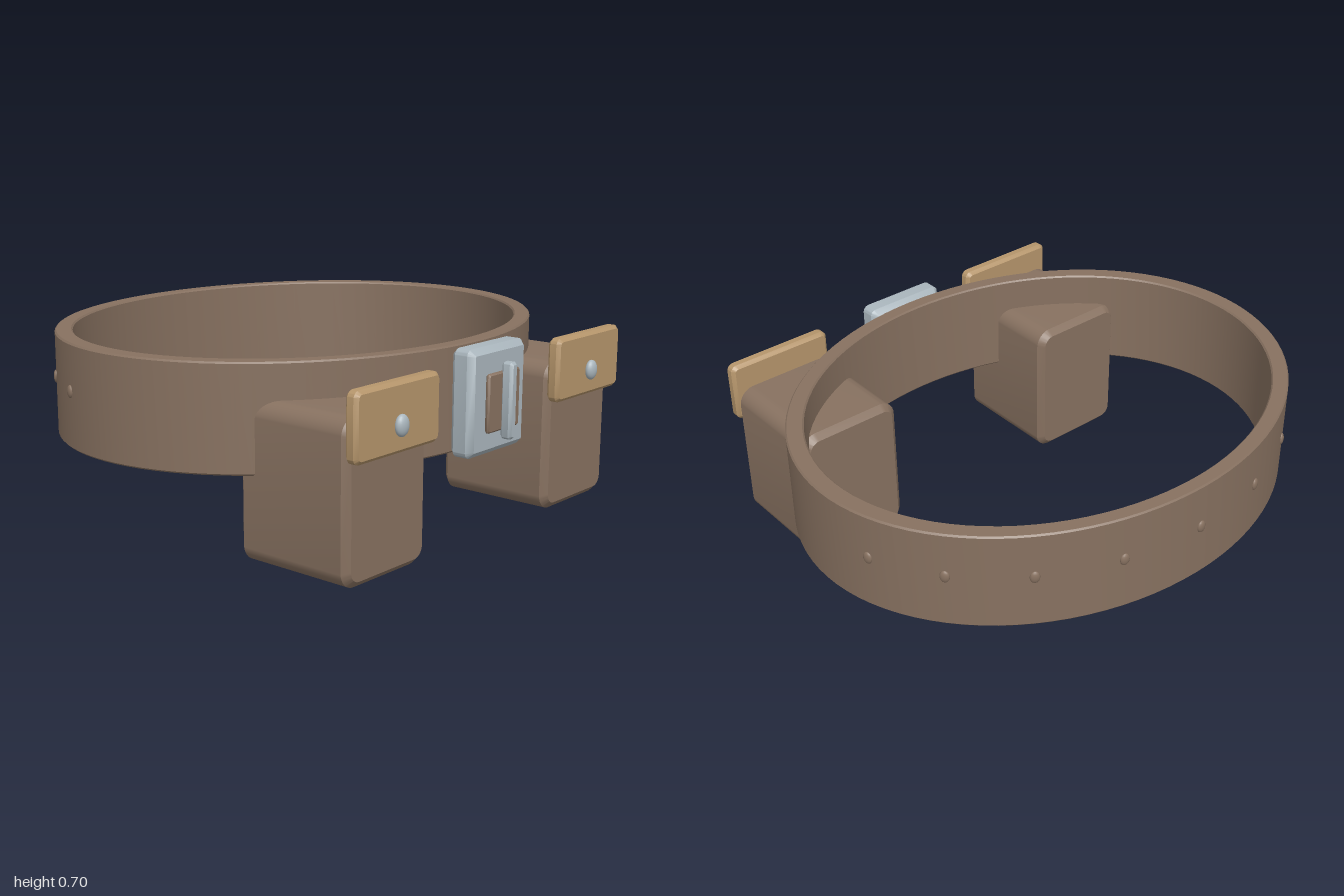
import * as THREE from 'three';
import { toCreasedNormals } from 'three/addons/utils/BufferGeometryUtils.js';

const material = (name, color) => {
  const m = new THREE.MeshStandardMaterial({ color });
  m.name = name;
  return m;
};

// Rounded rectangle in xy, extruded along z with chamfered front and back rims
function block(w, h, d, radius, bevel) {
  const x = w / 2 - bevel, y = h / 2 - bevel, r = Math.max(radius - bevel, 0.004);
  const s = new THREE.Shape();
  s.moveTo(-x + r, -y);
  s.lineTo(x - r, -y);
  s.absarc(x - r, -y + r, r, -Math.PI / 2, 0);
  s.lineTo(x, y - r);
  s.absarc(x - r, y - r, r, 0, Math.PI / 2);
  s.lineTo(-x + r, y);
  s.absarc(-x + r, y - r, r, Math.PI / 2, Math.PI);
  s.lineTo(-x, -y + r);
  s.absarc(-x + r, -y + r, r, Math.PI, Math.PI * 1.5);
  const g = new THREE.ExtrudeGeometry(s, {
    depth: d - 2 * bevel, curveSegments: 6,
    bevelEnabled: true, bevelSize: bevel, bevelThickness: bevel, bevelSegments: 1,
  });
  g.translate(0, 0, -d / 2 + bevel);
  return toCreasedNormals(g, 0.6);
}

export function createModel() {
  const leather = material('brown leather', 0x877160);
  const tan = material('tan leather', 0xb5956b);
  const metal = material('steel', 0xaab6bd);

  const root = new THREE.Group();
  root.name = 'beltWithPouches';
  const add = (parent, name, geometry, mat, x, y, z) => {
    const mesh = new THREE.Mesh(geometry, mat);
    mesh.name = name;
    mesh.position.set(x, y, z);
    parent.add(mesh);
    return mesh;
  };

  // Oval strap
  const depthScale = 0.825, centreZ = -0.085, low = 0.315, high = 0.7, e = 0.006;
  const profile = [
    [0.93, low + e], [0.93 + e, low], [1 - e, low], [1, low + e],
    [1, high - e], [1 - e, high], [0.93 + e, high], [0.93, high - e], [0.93, low + e],
  ].map(([x, y]) => new THREE.Vector2(x, y));
  const strap = new THREE.LatheGeometry(profile, 96);
  strap.scale(1, 1, depthScale);
  add(root, 'strap', toCreasedNormals(strap, 0.6), leather, 0, 0, centreZ);

  // Small studs around the back of the strap
  const studGeometry = new THREE.SphereGeometry(1, 14, 10);
  for (let i = -4; i <= 4; i++) {
    const a = i * 0.327;
    const stud = add(root, 'strapStud', studGeometry, leather,
      Math.sin(a), 0.525, centreZ - Math.cos(a) * depthScale);
    stud.scale.set(0.018, 0.024, 0.01);
    stud.rotation.y = Math.atan2(Math.sin(a) * depthScale, Math.cos(a) * -1);
  }

  // Buckle with leather inset and prong
  const buckle = new THREE.Group();
  buckle.name = 'buckle';
  root.add(buckle);
  add(buckle, 'buckleFrame', block(0.335, 0.385, 0.095, 0.025, 0.022), metal, 0, 0.5075, 0.8025);
  add(buckle, 'buckleInset', block(0.19, 0.21, 0.018, 0.012, 0.006), leather, 0, 0.505, 0.864);
  add(buckle, 'buckleProng', block(0.04, 0.275, 0.046, 0.012, 0.01), metal, 0, 0.5075, 0.89);

  // Pouches with flap and snap
  for (const side of [-1, 1]) {
    const pouch = new THREE.Group();
    pouch.name = side > 0 ? 'leftPouch' : 'rightPouch';
    pouch.position.x = side * 0.577;
    root.add(pouch);
    add(pouch, 'pouchBody', block(0.42, 0.57, 0.475, 0.065, 0.024), leather, 0, 0.285, 0.582);
    add(pouch, 'pouchFlap', block(0.436, 0.24, 0.052, 0.028, 0.013), tan, 0, 0.547, 0.838);
    add(pouch, 'pouchSnap', new THREE.SphereGeometry(1, 20, 14), metal, 0, 0.523, 0.872)
      .scale.set(0.03, 0.038, 0.02);
  }
  return root;
}
